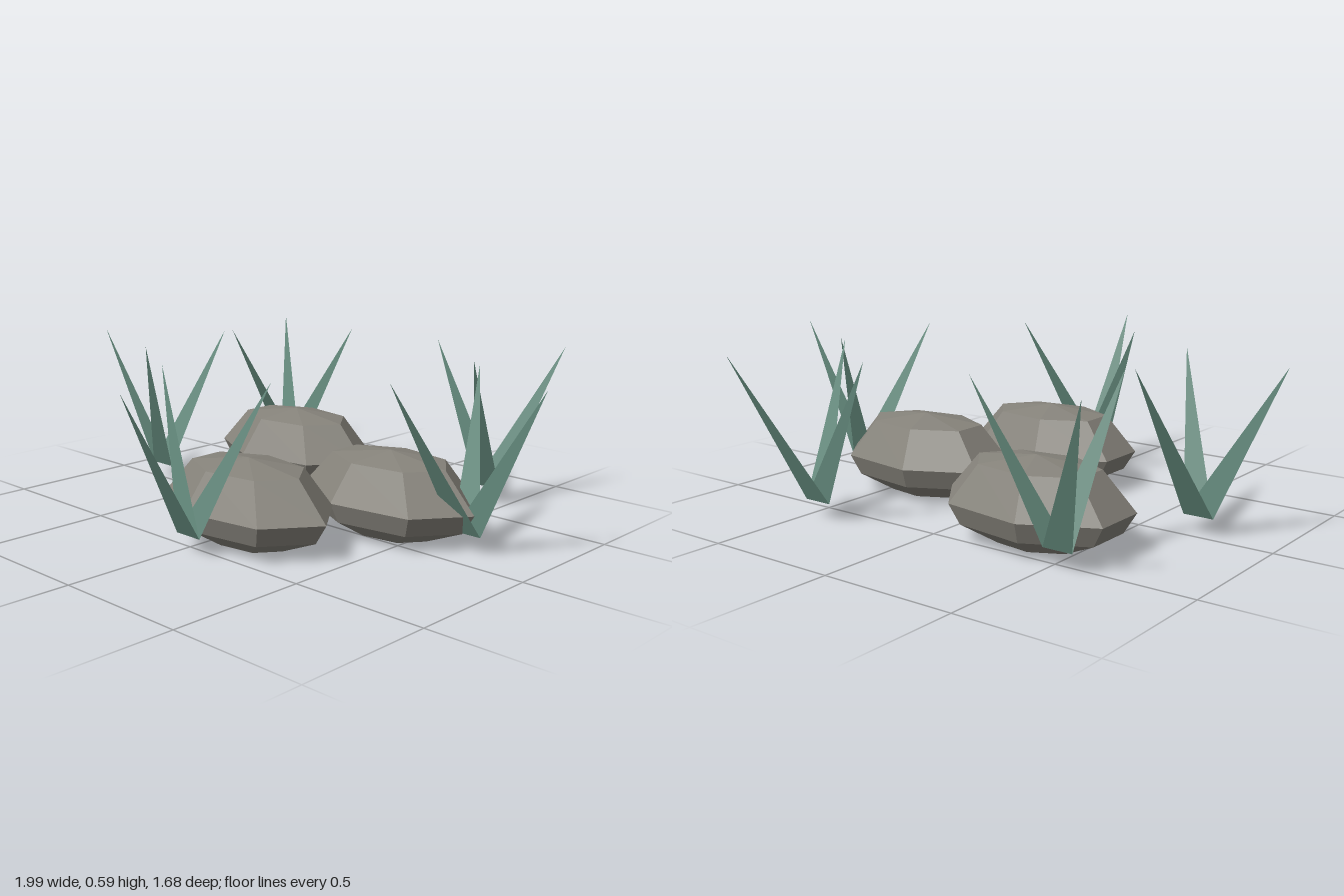
import * as THREE from 'three';

const stone = new THREE.MeshStandardMaterial({ color: 0x86837b });
stone.name = 'warm grey stone';
stone.flatShading = true;
const leaf = new THREE.MeshStandardMaterial({ color: 0x62877a, side: THREE.DoubleSide });
leaf.name = 'dull green leaf';
leaf.flatShading = true;

// Seven-sided flattened boulder: lathe profile stretched along x
function makeRock(x, z) {
  const profile = [[0, 0], [0.45, 0], [0.87, 0.062], [1, 0.134], [0.66, 0.267], [0, 0.298]]
    .map(([r, y]) => new THREE.Vector2(r, y));
  const geo = new THREE.LatheGeometry(profile, 7, Math.PI / 2);
  geo.scale(0.36, 1, 0.23);
  const rock = new THREE.Mesh(geo.toNonIndexed(), stone);
  rock.geometry.computeVertexNormals();
  rock.name = 'rock';
  rock.position.set(x, 0, z);
  return rock;
}

// Three flat pointed blades fanning out from one shared base edge
function makeTuft(x, z, degrees) {
  const tuft = new THREE.Group();
  tuft.name = 'grassTuft';
  for (let i = 0; i < 3; i++) {
    const a = THREE.MathUtils.degToRad(degrees + i * 120);
    const geo = new THREE.BufferGeometry();
    geo.setAttribute('position', new THREE.Float32BufferAttribute([
      -0.056, 0, 0, 0.056, 0, 0,
      0.283 * Math.cos(a), 0.53, 0.283 * Math.sin(a),
    ], 3));
    geo.computeVertexNormals();
    const blade = new THREE.Mesh(geo, leaf);
    blade.name = 'grassBlade';
    tuft.add(blade);
  }
  tuft.position.set(x, 0.065, z);
  return tuft;
}

export function createModel() {
  const model = new THREE.Group();
  model.name = 'rocksAndGrass';
  for (const [x, z] of [[-0.325, -0.36], [0.097, 0.315], [0.38, -0.1]]) model.add(makeRock(x, z));

  // Tufts: x, z and heading of the first blade
  const tufts = [
    [0.71, -0.1, 0], [0.055, 0.555, 85], [-0.717, 0.02, 50],
    [-0.54, -0.545, 102], [0.428, -0.62, 68],
  ];
  for (const t of tufts) model.add(makeTuft(...t));
  return model;
}
